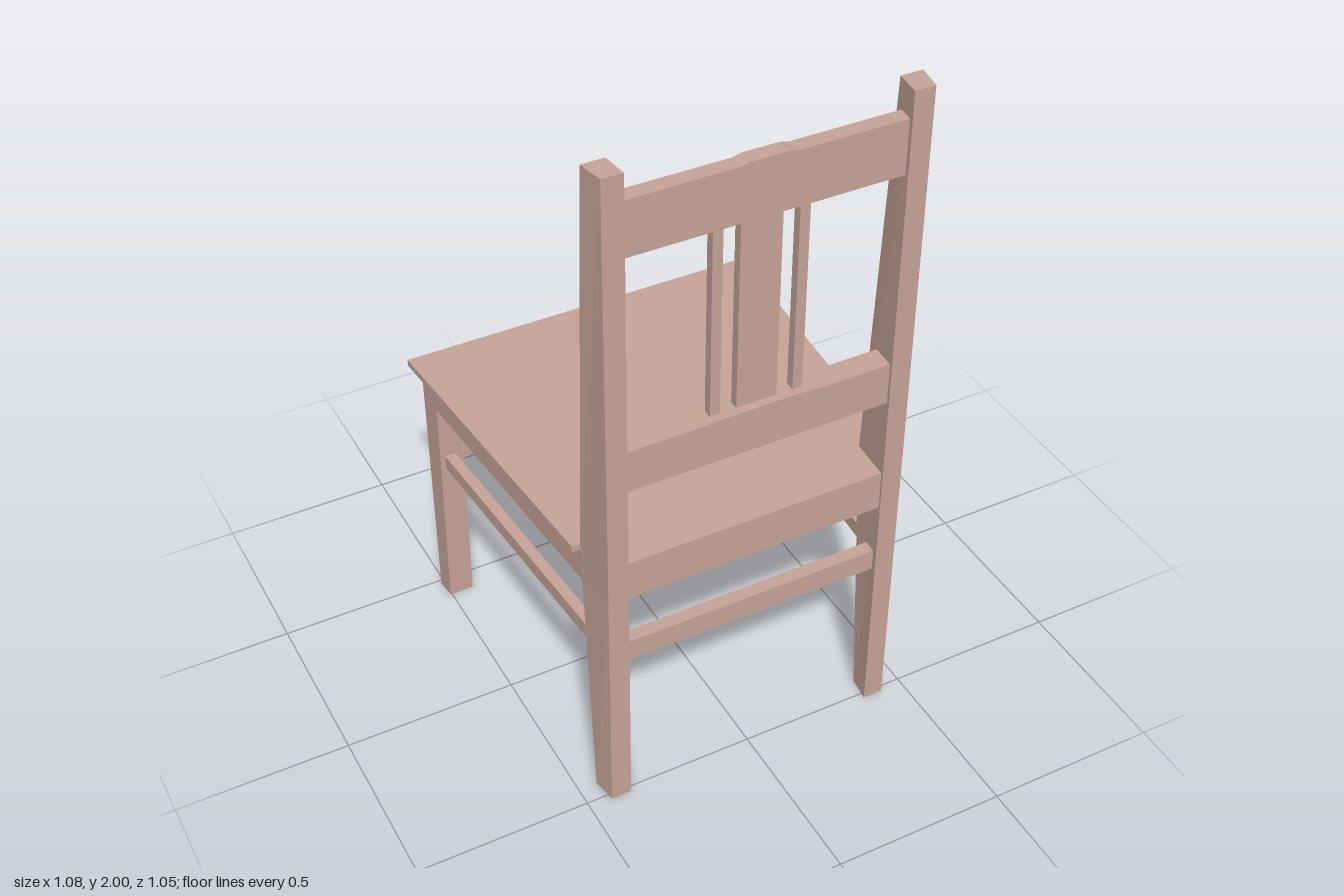
import * as THREE from 'three';

const wood = new THREE.MeshStandardMaterial({ color: 0xc8a598, flatShading: true });

function add(parent, name, geometry) {
  const mesh = new THREE.Mesh(geometry, wood);
  mesh.name = name;
  parent.add(mesh);
  return mesh;
}

// Flat board: outline given as [x, z] points, raised from y0 to y1
function board(points, y0, y1) {
  const shape = new THREE.Shape(points.map(([x, z]) => new THREE.Vector2(x, -z)));
  const g = new THREE.ExtrudeGeometry(shape, { depth: y1 - y0, bevelEnabled: false });
  return g.rotateX(-Math.PI / 2).translate(0, y0, 0);
}

// Box between two corners
function block(x0, x1, y0, y1, z0, z1) {
  return new THREE.BoxGeometry(x1 - x0, y1 - y0, z1 - z0)
    .translate((x0 + x1) / 2, (y0 + y1) / 2, (z0 + z1) / 2);
}

// Tapered leg: sections are [y, zFront, zBack]; xs holds [inner, outer] at the front and at the back
function leg(side, sections, xFront, xBack) {
  const n = sections.length - 1;
  const g = new THREE.BoxGeometry(1, 1, 1, 1, n, 1);
  const p = g.attributes.position;
  for (let i = 0; i < p.count; i++) {
    const [y, zFront, zBack] = sections[Math.round((p.getY(i) + 0.5) * n)];
    const outer = p.getX(i) * side > 0 ? 1 : 0;
    const back = p.getZ(i) > 0;
    p.setXYZ(i, side * (back ? xBack : xFront)[outer], y, back ? zBack : zFront);
  }
  const flat = g.toNonIndexed();
  flat.computeVertexNormals();
  return flat;
}

// Backrest rail with a very slight crown along its top edge
function crownedRail(y0, y1, rise, flat, shoulder, z0, z1) {
  const w = 0.38;
  const shape = new THREE.Shape([
    [-w, y0], [w, y0], [w, y1], [shoulder, y1], [flat, y1 + rise],
    [-flat, y1 + rise], [-shoulder, y1], [-w, y1],
  ].map(([x, y]) => new THREE.Vector2(x, y)));
  return new THREE.ExtrudeGeometry(shape, { depth: z1 - z0, bevelEnabled: false }).translate(0, 0, z0);
}

export function createModel() {
  const chair = new THREE.Group();
  chair.name = 'chair';

  // Tapered seat panel with a tongue between the back posts
  add(chair, 'seat', board([
    [-0.54, -0.525], [0.54, -0.525], [0.47, 0.39], [0.383, 0.39], [0.378, 0.47],
    [-0.378, 0.47], [-0.383, 0.39], [-0.47, 0.39],
  ], 0.82, 0.84));

  for (const side of [1, -1]) {
    const label = side > 0 ? 'left' : 'right';
    const mirror = (pts) => pts.map(([x, z]) => [x * side, z]);

    // Back post, deepest at seat height
    add(chair, label + 'BackPost', leg(side, [
      [0, 0.448, 0.517], [0.72, 0.395, 0.52], [0.84, 0.39, 0.521], [2, 0.45, 0.525],
    ], [0.383, 0.446], [0.375, 0.433]));

    // Front leg, narrowing in depth toward the floor
    add(chair, label + 'FrontLeg', leg(side, [
      [0, -0.485, -0.428], [0.72, -0.495, -0.417], [0.82, -0.497, -0.416],
    ], [0.438, 0.511], [0.433, 0.505]));

    // Side apron under the seat, flush with the legs
    add(chair, label + 'Apron', board(mirror([
      [0.505, -0.42], [0.446, 0.4], [0.416, 0.4], [0.475, -0.42],
    ]), 0.72, 0.82));

    // Side stretcher, set in from the legs
    add(chair, label + 'Stretcher', board(mirror([
      [0.49, -0.425], [0.432, 0.42], [0.4, 0.42], [0.458, -0.425],
    ]), 0.5, 0.545));

    // Thin outer slat
    add(chair, label + 'Slat', block(side * 0.117 - 0.014, side * 0.117 + 0.014, 1.19, 1.775, 0.462, 0.488));
  }

  // Cross members
  add(chair, 'frontApron', block(-0.44, 0.44, 0.72, 0.82, -0.495, -0.465));
  add(chair, 'frontStretcher', block(-0.44, 0.44, 0.49, 0.555, -0.485, -0.452));
  add(chair, 'backApron', block(-0.378, 0.378, 0.72, 0.84, 0.47, 0.513));
  add(chair, 'backStretcher', block(-0.38, 0.38, 0.49, 0.555, 0.463, 0.502));

  // Backrest
  add(chair, 'lowerBackRail', crownedRail(1.075, 1.2, 0.004, 0.1, 0.2, 0.442, 0.512));
  add(chair, 'topBackRail', crownedRail(1.765, 1.92, 0.006, 0.05, 0.075, 0.468, 0.512));
  add(chair, 'middleSlat', block(-0.057, 0.057, 1.19, 1.775, 0.462, 0.488));

  return chair;
}
